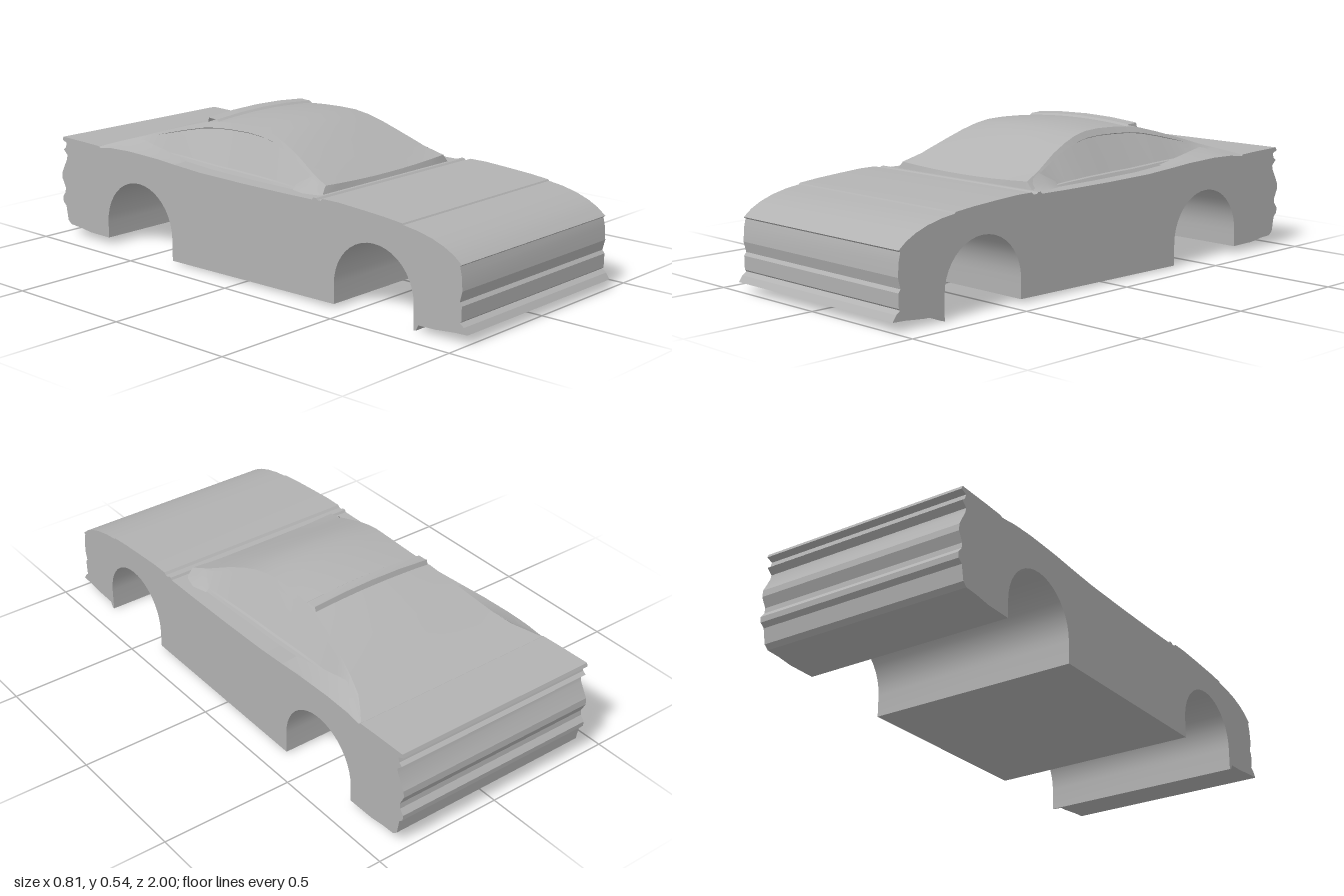
import * as THREE from 'three';
import { toCreasedNormals } from 'three/addons/utils/BufferGeometryUtils.js';

const HALF = 0.407; // half width of the body

// Strip surface over a grid of cross-sections, each running from +x to -x, front to back
function loft(sections) {
  const pos = sections.flat(2), idx = [], n = sections[0].length;
  for (let i = 0; i < sections.length - 1; i++) {
    for (let j = 0; j < n - 1; j++) {
      const a = i * n + j, b = a + n;
      idx.push(a, b, a + 1, b, b + 1, a + 1);
    }
  }
  const g = new THREE.BufferGeometry();
  g.setAttribute('position', new THREE.Float32BufferAttribute(pos, 3));
  g.setIndex(idx);
  return toCreasedNormals(g, 0.4);
}

// Half wheel arch, walked from the back of the opening to the front
function arch(cz, cy, r) {
  const pts = [];
  for (let i = 0; i <= 20; i++) {
    const a = Math.PI * (1 - i / 20);
    pts.push([cz + r * Math.cos(a), cy + r * Math.sin(a)]);
  }
  return pts;
}

// Side profile of the shell as [z, y], extruded across the full width
function bodyGeometry() {
  const top = [
    [1, 0.04], [0.985, 0.062], [0.968, 0.074], [0.974, 0.08], [0.975, 0.13], [0.966, 0.142],
    [0.976, 0.18], [0.972, 0.23], [0.965, 0.26], [0.972, 0.266], [0.94, 0.291], [0.9, 0.312],
    [0.85, 0.33], [0.79, 0.344], [0.732, 0.352], [0.728, 0.357], [0.65, 0.365], [0.55, 0.372],
    [0.45, 0.378], [0.38, 0.378], [0.372, 0.37], [0.356, 0.37], [0.35, 0.376], [0.338, 0.376],
    [0.332, 0.368], [0.2, 0.367], [0, 0.368], [-0.22, 0.372], [-0.35, 0.38], [-0.45, 0.387],
    [-0.6, 0.392], [-0.7, 0.389], [-0.765, 0.38], [-0.775, 0.386], [-0.85, 0.389], [-0.985, 0.392],
  ];
  const rear = [
    [-0.99, 0.38], [-0.966, 0.37], [-0.972, 0.352], [-0.985, 0.342], [-0.964, 0.322], [-0.968, 0.305],
    [-0.998, 0.25], [-1, 0.225], [-0.982, 0.19], [-0.984, 0.17], [-1, 0.15], [-0.998, 0.13],
    [-0.982, 0.115], [-0.972, 0.06], [-0.955, 0.045], [-0.9, 0.042], [-0.84, 0.034], [-0.73, 0.033],
  ];
  const under = [
    ...arch(-0.55, 0.095, 0.18), [-0.37, 0.012], [0.432, 0.02], ...arch(0.606, 0.092, 0.174),
    [0.78, 0.006], [0.79, 0.008], [0.8, 0.028], [0.87, 0.03], [0.95, 0.038],
  ];
  const shape = new THREE.Shape([...top, ...rear, ...under].map(p => new THREE.Vector2(...p)));
  const g = new THREE.ExtrudeGeometry(shape, { depth: 2 * HALF, bevelEnabled: false });
  g.rotateY(-Math.PI / 2).translate(HALF, 0, 0);
  return toCreasedNormals(g, 0.3);
}

// Cabin stations: z, centre height, roof edge x and y, belt x and y, glass recess
const STATIONS = [
  [0.325, 0.366, 0.325, 0.366, 0.35, 0.366, 0],
  [0.318, 0.387, 0.322, 0.398, 0.35, 0.366, 0],
  [0.24, 0.43, 0.302, 0.425, 0.348, 0.366, 0],
  [0.22, 0.44, 0.297, 0.435, 0.347, 0.366, 0.007],
  [0.14, 0.48, 0.276, 0.472, 0.346, 0.367, 0.007],
  [0.07, 0.512, 0.264, 0.5, 0.345, 0.367, 0.007],
  [0.01, 0.533, 0.255, 0.519, 0.345, 0.368, 0.007],
  [-0.05, 0.543, 0.249, 0.53, 0.344, 0.368, 0.007],
  [-0.12, 0.546, 0.244, 0.533, 0.344, 0.37, 0.007],
  [-0.2, 0.544, 0.243, 0.531, 0.343, 0.371, 0.007],
  [-0.28, 0.538, 0.246, 0.526, 0.342, 0.375, 0.007],
  [-0.34, 0.528, 0.256, 0.517, 0.341, 0.379, 0.007],
  [-0.42, 0.505, 0.271, 0.496, 0.34, 0.384, 0.007],
  [-0.5, 0.48, 0.289, 0.472, 0.338, 0.389, 0.005],
  [-0.55, 0.463, 0.3, 0.457, 0.342, 0.39, 0],
  [-0.61, 0.44, 0.316, 0.437, 0.36, 0.391, 0],
  [-0.68, 0.416, 0.34, 0.416, 0.39, 0.389, 0],
  [-0.73, 0.4, 0.372, 0.4, 0.405, 0.384, 0],
  [-0.775, 0.384, 0.403, 0.384, 0.406, 0.379, 0],
];

// One cabin section: belt, recessed side glass, window frame, crowned roof, mirrored
function cabinSection([z, yc, xe, ye, xb, yb, inset]) {
  const side = (t, d) => [xb + (xe - xb) * t - d, yb + (ye - yb) * t, z];
  const half = [side(0, 0), side(0.08, 0), side(0.1, inset), side(0.84, inset), side(0.86, 0), [xe, ye, z]];
  for (const t of [0.75, 0.5, 0.25]) half.push([xe * t, yc + (ye - yc) * t * t, z]);
  const other = half.map(([x, y]) => [-x, y, z]).reverse();
  return [...half, [0, yc, z], ...other];
}

// Raised lip across the back of the roof
function roofLipSections() {
  const rows = [[-0.276, 0.534], [-0.286, 0.542], [-0.318, 0.543], [-0.328, 0.545], [-0.334, 0.525]];
  return rows.map(([z, y]) => [1, 0.5, 0, -0.5, -1].map(t => [0.25 * t, y + 0.004 - 0.013 * t * t, z]));
}

// Shoulder flare running from the door back to the tail, at +x
function shoulderSections() {
  const rows = [
    [-0.35, 0.345, 0.385], [-0.47, 0.335, 0.402], [-0.6, 0.33, 0.424],
    [-0.68, 0.345, 0.415], [-0.77, 0.4, 0.386],
  ];
  const deck = [0.38, 0.388, 0.392, 0.39, 0.381];
  return rows.map(([z, x, y], i) => [[HALF, deck[i], z], [(x + HALF) / 2, deck[i] + (y - deck[i]) * 0.4, z], [x, y, z]]);
}

// Small fillet at the foot of each windscreen pillar, at +x
function pillarFootSections() {
  return [
    [[0.352, 0.368, 0.31], [0.34, 0.374, 0.31], [0.324, 0.392, 0.31]],
    [[0.368, 0.368, 0.25], [0.345, 0.385, 0.25], [0.31, 0.42, 0.25]],
    [[0.352, 0.368, 0.19], [0.343, 0.375, 0.19], [0.335, 0.385, 0.19]],
  ];
}

export function createModel() {
  const grey = new THREE.MeshStandardMaterial({ color: 0xb2b2b2, side: THREE.DoubleSide });
  grey.name = 'bodyGrey';
  const model = new THREE.Group();
  model.name = 'carBody';
  const add = (name, geometry) => {
    const mesh = new THREE.Mesh(geometry, grey);
    mesh.name = name;
    model.add(mesh);
  };

  add('lowerBody', bodyGeometry());
  add('cabin', loft(STATIONS.map(cabinSection)));
  add('roofLip', loft(roofLipSections()));

  // Mirrored side details
  const mirror = rows => rows.map(r => r.map(([x, y, z]) => [-x, y, z]).reverse());
  for (const [name, rows] of [['Shoulder', shoulderSections()], ['PillarFoot', pillarFootSections()]]) {
    add('left' + name, loft(rows));
    add('right' + name, loft(mirror(rows)));
  }
  return model;
}
